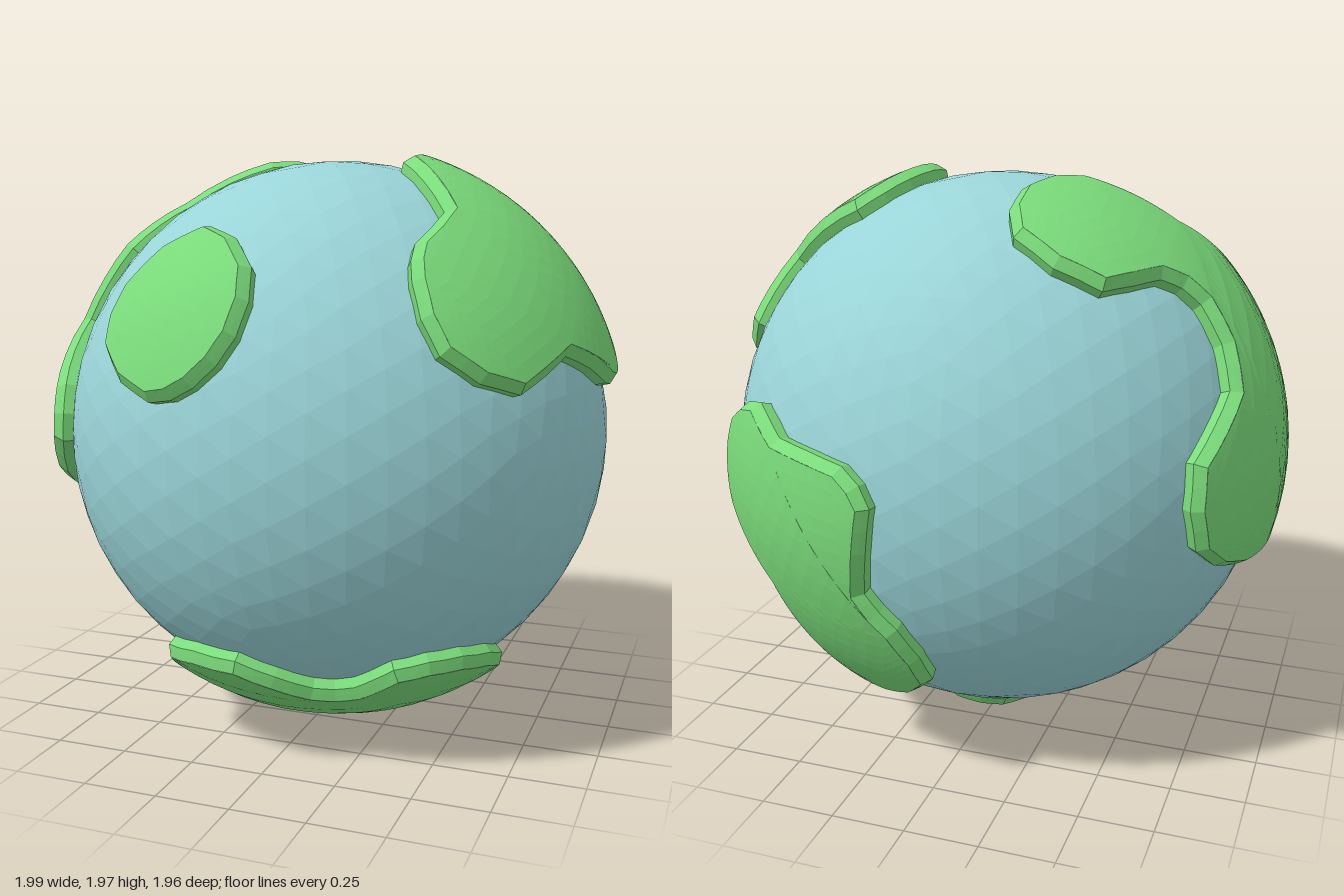
import * as THREE from 'three';

const CENTRE = [0.005, 1.015, 0.02];
const OCEAN_R = 0.947, LAND_R = 1.01, SHOULDER_R = 0.98, ROOT_R = 0.91, BEVEL = 0.032;
const deg = Math.PI / 180;

// Each land: the direction it is drawn from (azimuth from +z towards +x,
// elevation) and a few clockwise [right, up] points its smooth coast runs through.
const lands = [
  { name: 'frontIsland', az: 0, el: 0, coast: [
    [-.47, .55], [-.2, .74], [0, .62], [0, .42], [-.12, .27], [-.28, .215], [-.5, .35]] },
  { name: 'leftContinent', az: 35, el: 25, coast: [
    [0, .18], [.04, .32], [.18, .46], [.15, .75], [.33, .825], [.53, .77], [.7, .455],
    [.86, .25], [.83, -.015], [.75, -.06], [.525, -.025], [.315, -.17], [.05, -.06]] },
  { name: 'rightContinent', az: 215, el: 25, coast: [
    [-.14, .5], [-.05, .7], [.19, .755], [.485, .59], [.715, .495], [.87, .24], [.98, .16], [1, 0],
    [.91, -.365], [.58, -.575], [.355, -.52], [.33, -.255], [.51, -.03], [.455, .255], [.315, .335],
    [.09, .29]] },
  { name: 'backContinent', az: 140, el: -30, coast: [
    [-.21, .48], [-.14, .66], [.05, .72], [.2, .65], [.47, .575], [.565, .45], [.505, .19],
    [.555, .04], [.52, -.23], [.26, -.345], [.1, -.3], [.04, .165], [-.2, .36]] },
  { name: 'bottomContinent', az: 0, el: -90, coast: [
    [-.42, .45], [-.4, .62], [-.09, .755], [.14, .645], [.27, .61], [.41, .63],
    [.6, .48], [.67, .2], [.42, -.04], [.12, -.25], [-.08, -.24], [-.2, 0]] },
];

// Lifts a flat coast point onto the unit globe
function lift([u, v], az, el) {
  const w = Math.sqrt(Math.max(0, 1 - u * u - v * v));
  return new THREE.Vector3(u, v, w).normalize()
    .applyEuler(new THREE.Euler(-el * deg, az * deg, 0, 'YXZ'));
}

// Smooth closed coastline on the unit globe, counter-clockwise from outside
function coastline({ az, el, coast }) {
  const curve = new THREE.CatmullRomCurve3(coast.map(p => lift(p, az, el)), true);
  return curve.getPoints(coast.length * 2).slice(1).map(p => p.normalize()).reverse();
}

// Splits a triangle in four, keeping new corners on the curve of the globe
function subdivide(tri, level, out) {
  if (level === 0) {
    for (const p of tri) out.push(p.x, p.y, p.z);
    return;
  }
  const mid = (p, q) => p.clone().normalize().add(q.clone().normalize())
    .setLength((p.length() + q.length()) / 2);
  const [a, b, c] = tri;
  const ab = mid(a, b), bc = mid(b, c), ca = mid(c, a);
  for (const t of [[a, ab, ca], [ab, b, bc], [ca, bc, c], [ab, bc, ca]]) subdivide(t, level - 1, out);
}

function landGeometry(land) {
  const outer = coastline(land);
  const n = outer.length;
  const inner = outer.map((d, i) => {
    const along = outer[(i + 1) % n].clone().sub(outer[(i + n - 1) % n]);
    return d.clone().addScaledVector(d.clone().cross(along).normalize(), BEVEL).normalize();
  });
  const ring = (list, r) => list.map(d => d.clone().multiplyScalar(r));
  const rings = [ring(outer, ROOT_R), ring(outer, SHOULDER_R), ring(inner, LAND_R)];
  const pos = [];

  // cliff and bevel
  for (let k = 0; k < 2; k++) {
    for (let i = 0; i < n; i++) {
      const j = (i + 1) % n, lo = rings[k], hi = rings[k + 1];
      subdivide([lo[i], lo[j], hi[j]], 1, pos);
      subdivide([lo[i], hi[j], hi[i]], 1, pos);
    }
  }

  // plateau, triangulated on the plane touching its middle
  const middle = inner.reduce((s, d) => s.add(d), new THREE.Vector3()).normalize();
  const turn = new THREE.Quaternion().setFromUnitVectors(middle, new THREE.Vector3(0, 0, 1));
  const flat = inner.map(d => {
    const p = d.clone().applyQuaternion(turn);
    return new THREE.Vector2(p.x / p.z, p.y / p.z);
  });
  for (const f of THREE.ShapeUtils.triangulateShape(flat, [])) {
    subdivide(f.map(i => rings[2][i]), 3, pos);
  }

  const geo = new THREE.BufferGeometry();
  geo.setAttribute('position', new THREE.Float32BufferAttribute(pos, 3));
  geo.computeVertexNormals();
  return geo;
}

export function createModel() {
  const globe = new THREE.Group();
  globe.name = 'globe';
  const water = new THREE.MeshStandardMaterial({ color: 0x9ad4d8, flatShading: true });
  const grass = new THREE.MeshStandardMaterial({ color: 0x7bdc7b, flatShading: true });

  const ocean = new THREE.Mesh(new THREE.IcosahedronGeometry(OCEAN_R, 8), water);
  ocean.name = 'ocean';
  globe.add(ocean);

  for (const land of lands) {
    const mesh = new THREE.Mesh(landGeometry(land), grass);
    mesh.name = land.name;
    globe.add(mesh);
  }

  globe.position.set(...CENTRE);
  const model = new THREE.Group();
  model.add(globe);
  return model;
}
